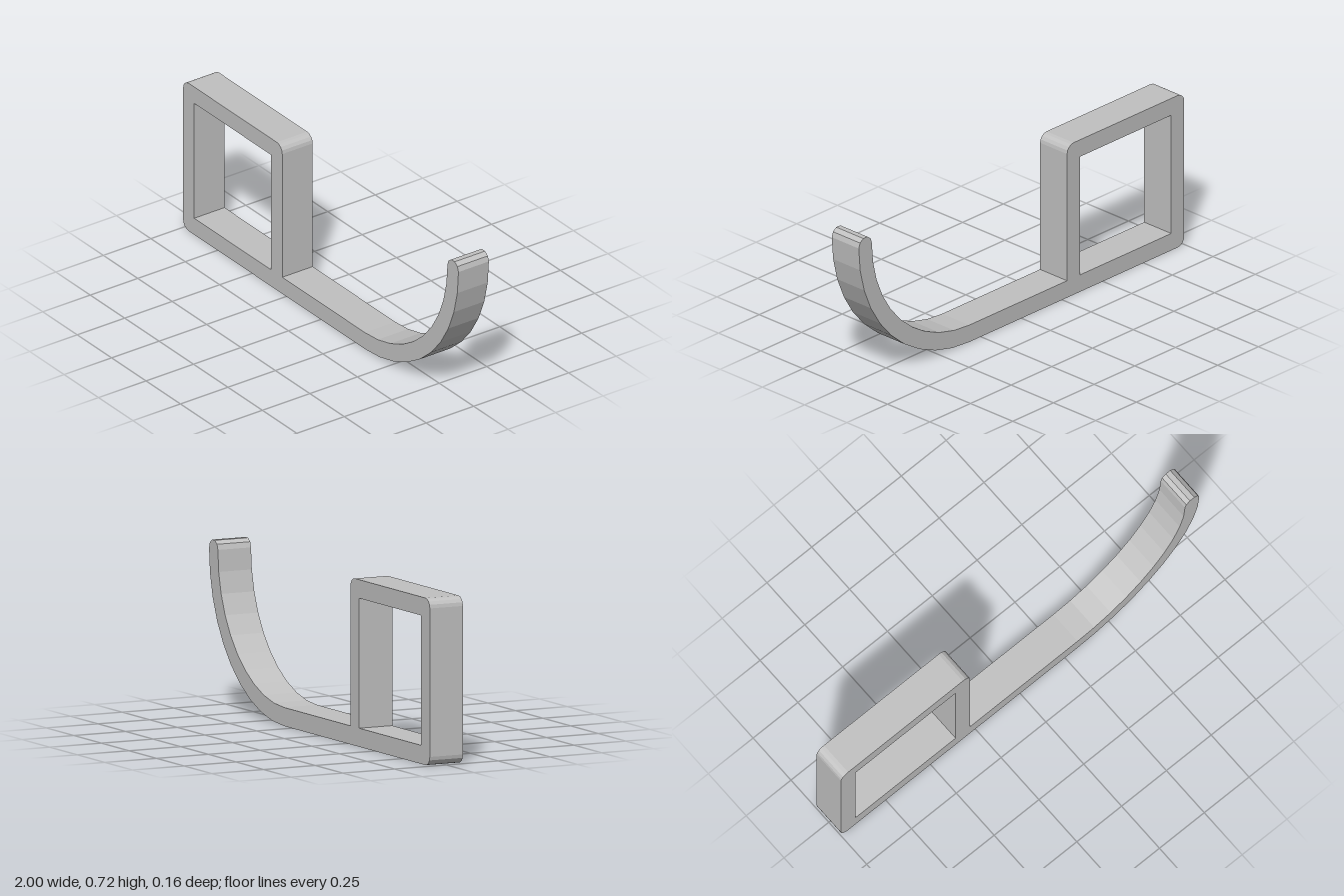
import * as THREE from 'three';

const DEPTH = 0.16;

// Points along an arc, angles in degrees
function arc(cx, cy, r, from, to, segments, skipFirst = false) {
  const points = [];
  for (let i = skipFirst ? 1 : 0; i <= segments; i++) {
    const a = THREE.MathUtils.degToRad(from + ((to - from) * i) / segments);
    points.push(new THREE.Vector2(cx + r * Math.cos(a), cy + r * Math.sin(a)));
  }
  return points;
}

export function createModel() {
  const grey = new THREE.MeshStandardMaterial({ color: 0xc0c0c0 });
  grey.name = 'light grey';
  grey.flatShading = true;

  // One continuous strip outline, counter-clockwise from the lower left corner
  const outline = new THREE.Shape([
    ...arc(-0.96, 0.04, 0.04, 180, 270, 4),
    ...arc(0.32, 0.68, 0.68, -90, 0, 10), // outside of the hook
    ...arc(0.96, 0.68, 0.04, 0, 180, 5, true), // rounded tip
    ...arc(0.32, 0.68, 0.6, 0, -90, 10, true), // inside of the hook
    new THREE.Vector2(-0.28, 0.08),
    ...arc(-0.32, 0.68, 0.04, 0, 90, 4),
    ...arc(-0.96, 0.68, 0.04, 90, 180, 4),
  ]);

  // Square opening of the clamp frame
  outline.holes.push(new THREE.Path([
    new THREE.Vector2(-0.92, 0.08),
    new THREE.Vector2(-0.92, 0.64),
    new THREE.Vector2(-0.36, 0.64),
    new THREE.Vector2(-0.36, 0.08),
  ]));

  const geometry = new THREE.ExtrudeGeometry(outline, { depth: DEPTH, bevelEnabled: false });
  geometry.translate(0, 0, -DEPTH / 2);

  const hook = new THREE.Mesh(geometry, grey);
  hook.name = 'squareFrameHook';

  const group = new THREE.Group();
  group.name = 'hook';
  group.add(hook);
  return group;
}
